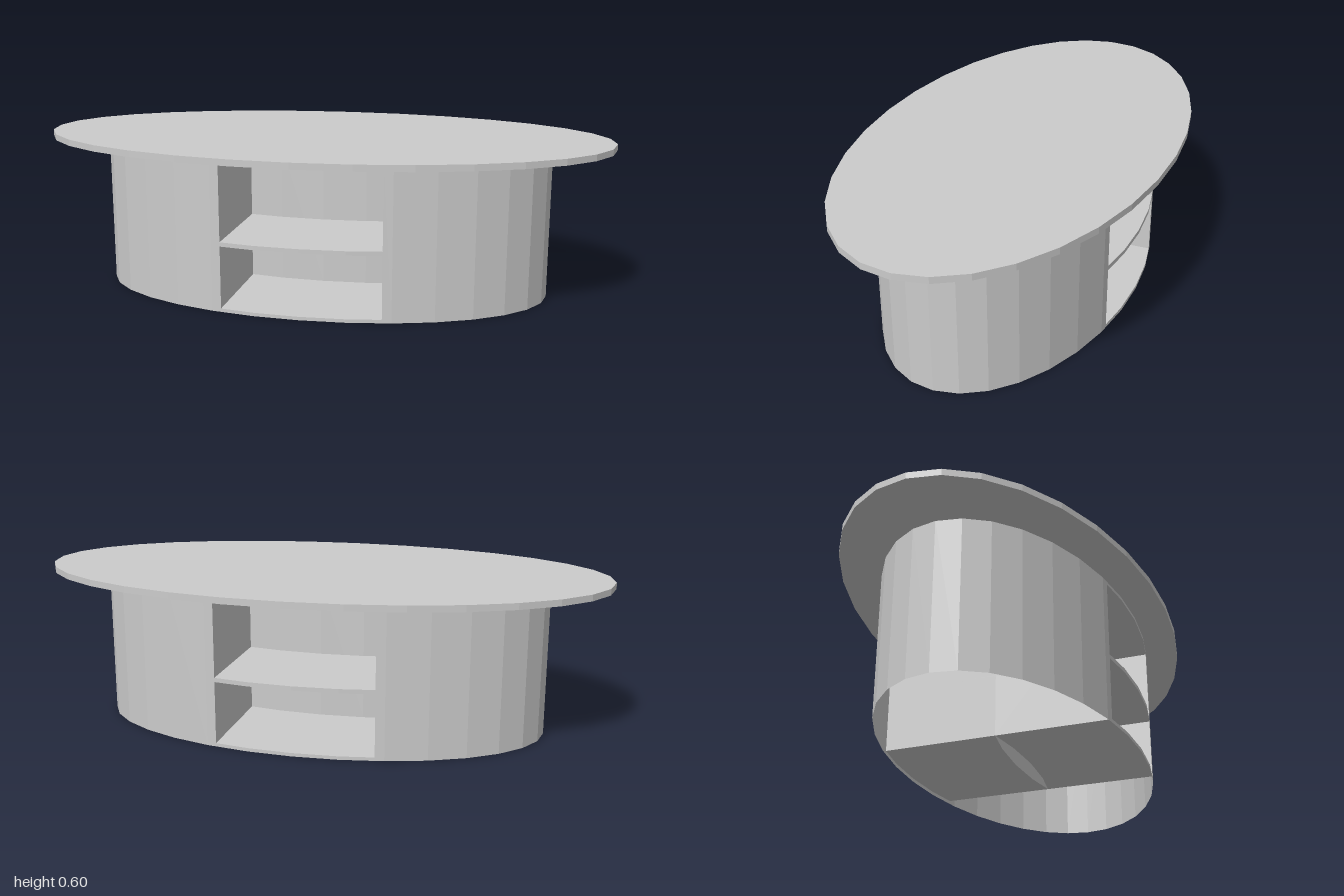
import * as THREE from 'three';

const A = 1.098, B = 0.587;      // half axes of the oval top
const K = 0.79;                  // base size relative to the top
const SIDES = 32;
const HALF = 0.298;              // half width of a niche
const LOW = 0.013, HIGH = 0.553; // niche floor and ceiling
const BASE_TOP = 0.565;

const material = new THREE.MeshStandardMaterial({
  color: 0xcccccc, flatShading: true, side: THREE.DoubleSide,
});

// Corner i of the base oval
function corner(i) {
  const t = (i / SIDES) * Math.PI * 2;
  return new THREE.Vector2(A * K * Math.cos(t), B * K * Math.sin(t));
}

// Upright band along a line of plan points
function band(points, y0, y1) {
  const pos = [];
  for (let i = 0; i + 1 < points.length; i++) {
    const p = points[i], q = points[i + 1];
    pos.push(p.x, y0, p.y, p.x, y1, p.y, q.x, y1, q.y);
    pos.push(p.x, y0, p.y, q.x, y1, q.y, q.x, y0, q.y);
  }
  const g = new THREE.BufferGeometry();
  g.setAttribute('position', new THREE.Float32BufferAttribute(pos, 3));
  g.computeVertexNormals();
  return g;
}

function add(parent, name, geometry) {
  const mesh = new THREE.Mesh(geometry, material);
  mesh.name = name;
  parent.add(mesh);
  return mesh;
}

// Point of the base outline where it crosses u = x on the +z side
function cut(i, x) {
  const p = corner(i), q = corner(i + 1);
  return p.clone().lerp(q, (x - p.x) / (q.x - p.x));
}

export function createModel() {
  const table = new THREE.Group();
  table.name = 'ovalTable';
  const oval = new THREE.Group();
  oval.name = 'turnedBody';
  oval.rotation.y = -THREE.MathUtils.degToRad(29.05);
  table.add(oval);

  // Oval top with a slightly sloping underside
  const profile = [[0, BASE_TOP], [K, BASE_TOP], [1, 0.576], [1, 0.6], [0, 0.6]]
    .map(([r, y]) => new THREE.Vector2(r, y));
  add(oval, 'tableTop', new THREE.LatheGeometry(profile, SIDES).scale(A, 1, B));

  // Outline of the opening, and of the closed wall round one end
  const right = cut(6, HALF), left = cut(9, -HALF);
  const arc = [right, corner(7), corner(8), corner(9), left];
  const end = [left];
  for (let i = 10; i <= 22; i++) end.push(corner(i));
  end.push(new THREE.Vector2(-right.x, -right.y));

  // The niche back repeats the front curve, moved in to the centre line
  const back = arc.map((p) => new THREE.Vector2(p.x, p.y - right.y));
  const plan = new THREE.Shape([...arc, ...back.slice().reverse()]);
  const plate = (y) => new THREE.ShapeGeometry(plan).rotateX(Math.PI / 2).translate(0, y, 0);

  // Two identical halves, turned about the centre
  for (const [name, turn] of [['front', 0], ['back', Math.PI]]) {
    const half = new THREE.Group();
    half.name = name + 'Half';
    half.rotation.y = turn;
    oval.add(half);

    add(half, 'endWall', band(end, 0, BASE_TOP));
    add(half, 'plinthStrip', band(arc, 0, LOW));
    add(half, 'headStrip', band(arc, HIGH, BASE_TOP));
    add(half, 'nicheWalls', band([right, ...back, left], LOW, HIGH));
    add(half, 'nicheFloor', plate(LOW));
    add(half, 'nicheCeiling', plate(HIGH));

    const shelf = new THREE.ExtrudeGeometry(plan, { depth: 0.016, bevelEnabled: false });
    add(half, 'shelf', shelf.rotateX(Math.PI / 2).translate(0, 0.265, 0));
  }
  return table;
}
